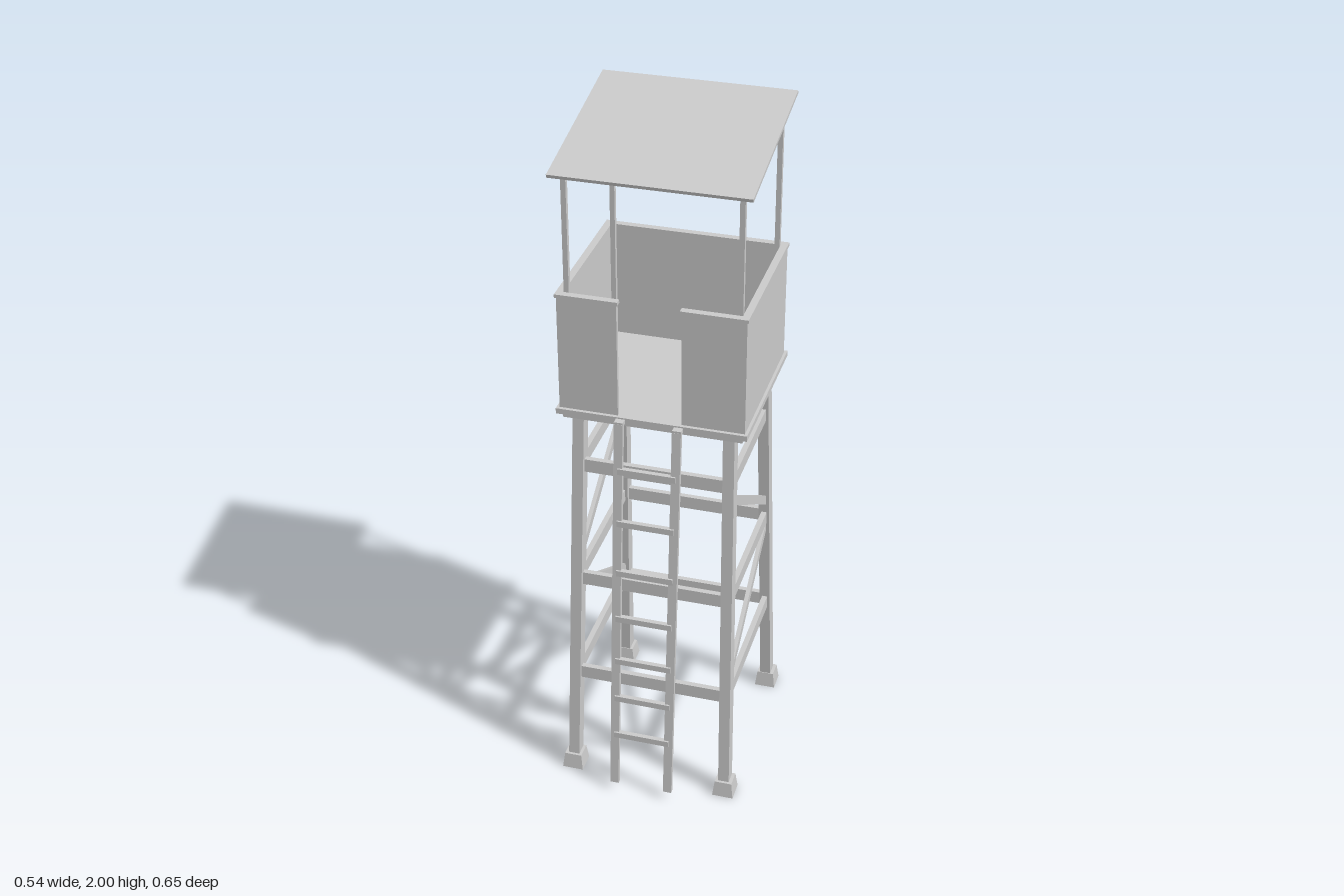
import * as THREE from 'three';

const mat = new THREE.MeshStandardMaterial({ color: 0xcccccc, flatShading: true });
const UP = new THREE.Vector3(0, 1, 0);

export function createModel() {
  const tower = new THREE.Group();
  tower.name = 'watchtower';

  const add = (name, geometry) => {
    const mesh = new THREE.Mesh(geometry, mat);
    mesh.name = name;
    tower.add(mesh);
    return mesh;
  };
  // Box given by its extents on each axis
  const box = (name, x0, x1, y0, y1, z0, z1) => {
    const mesh = add(name, new THREE.BoxGeometry(x1 - x0, y1 - y0, z1 - z0));
    mesh.position.set((x0 + x1) / 2, (y0 + y1) / 2, (z0 + z1) / 2);
    return mesh;
  };
  // Square-cut beam running from a to b
  const beam = (name, a, b, w, d) => {
    const dir = b.clone().sub(a);
    const mesh = add(name, new THREE.BoxGeometry(w, dir.length(), d));
    mesh.position.copy(a).lerp(b, 0.5);
    mesh.quaternion.setFromUnitVectors(UP, dir.normalize());
    return mesh;
  };

  // Centre line of a leg at height y (sx: side, sz: 1 front, -1 back)
  const legAt = (sx, sz, y) => {
    const t = y / 1.19;
    return new THREE.Vector3(sx * (0.231 - 0.021 * t), y, -0.026 + sz * (0.265 - 0.073 * t));
  };

  // Legs on tapered footings
  for (const sx of [-1, 1]) for (const sz of [-1, 1]) {
    beam('leg', legAt(sx, sz, 0.03), legAt(sx, sz, 1.195), 0.032, 0.04);
    const foot = new THREE.CylinderGeometry(0.05 * Math.SQRT1_2, 0.062 * Math.SQRT1_2, 0.048, 4);
    foot.rotateY(Math.PI / 4);
    add('footing', foot).position.copy(legAt(sx, sz, 0)).setY(0.024);
  }

  // Horizontal rails on all four sides
  for (const y of [0.34, 0.664, 1.032]) {
    for (const s of [-1, 1]) {
      const a = legAt(1, s, y);
      box('crossRail', -a.x, a.x, y - 0.02, y + 0.02, a.z - 0.008, a.z + 0.008);
      const f = legAt(s, 1, y), b = legAt(s, -1, y);
      box('sideRail', f.x - 0.008, f.x + 0.008, y - 0.02, y + 0.02, b.z, f.z);
    }
  }

  // Diagonal braces, zigzagging in opposite directions on the two sides
  for (const sx of [-1, 1]) {
    beam('brace', legAt(sx, sx, 0.37), legAt(sx, -sx, 0.64), 0.012, 0.026);
    beam('brace', legAt(sx, -sx, 0.715), legAt(sx, sx, 0.99), 0.012, 0.026);
  }

  // Floor with a frame below
  box('floorFrame', -0.25, 0.25, 1.187, 1.205, -0.25, 0.195);
  box('floor', -0.265, 0.265, 1.204, 1.22, -0.265, 0.21);

  // Cabin walls with a doorway at the front, and cap rails
  const wall = (x0, x1, z0, z1) => {
    box('wall', x0, x1, 1.22, 1.555, z0, z1);
    box('wallCap', x0 - 0.004, x1 + 0.004, 1.553, 1.563, z0 - 0.004, z1 + 0.004);
  };
  wall(-0.257, 0.257, -0.253, -0.241);
  wall(-0.257, -0.245, -0.253, 0.2);
  wall(0.245, 0.257, -0.253, 0.2);
  wall(-0.257, -0.093, 0.188, 0.2);
  wall(0.083, 0.257, 0.188, 0.2);

  // Roof posts
  const roofY = z => 1.9 + (0.21 - z) * 0.2;
  for (const sx of [-1, 1]) for (const z of [0.175, -0.23])
    box('roofPost', sx * 0.234 - 0.007, sx * 0.234 + 0.007, 1.22, roofY(z) - 0.002, z - 0.007, z + 0.007);

  // Sloping roof sheet
  const roof = add('roof', new THREE.BoxGeometry(0.535, 0.009, 0.489));
  roof.position.set(0, roofY(-0.0285), -0.0285);
  roof.rotation.x = Math.atan(0.2);

  // Ladder leaning on the floor edge
  const ladderZ = y => 0.32 - (y - 0.028) * 0.081;
  for (const x of [-0.083, 0.078])
    beam('ladderRail', new THREE.Vector3(x, 0.028, ladderZ(0.028)), new THREE.Vector3(x, 1.21, ladderZ(1.21)), 0.025, 0.013);
  for (const x of [-0.083, 0.078])
    box('ladderHook', x - 0.0125, x + 0.0125, 1.203, 1.216, 0.2, 0.23);
  for (const y of [0.203, 0.33, 0.458, 0.6, 0.75, 0.908, 1.07]) {
    const z = ladderZ(y) + 0.004;
    box('ladderRung', -0.084, 0.079, y - 0.009, y + 0.009, z - 0.007, z + 0.007);
  }

  return tower;
}
